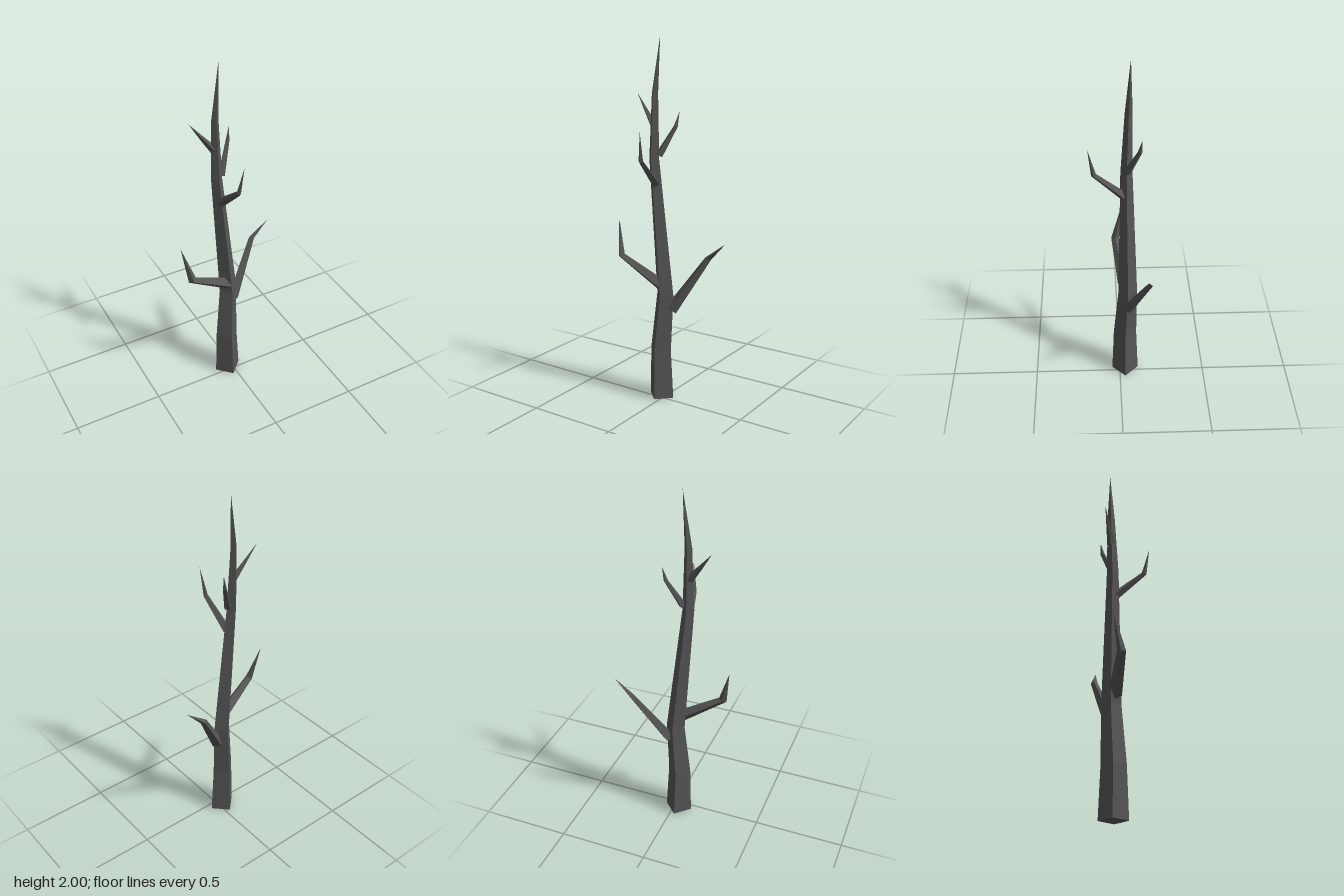
import * as THREE from 'three';

const bark = new THREE.MeshStandardMaterial({ color: 0x555555, flatShading: true });
const X = new THREE.Vector3(1, 0, 0), Y = new THREE.Vector3(0, 1, 0), Z = new THREE.Vector3(0, 0, 1);

// Four-sided tapering limb. Each point is [x, y, z, radius, ring normal (optional)];
// the last point is the sharp tip. One corner of every ring points along "ref".
function limb(name, points, ref) {
  const SIDES = 4;
  const centres = points.map(p => new THREE.Vector3(p[0], p[1], p[2]));
  const step = i => centres[i + 1].clone().sub(centres[i]).normalize();
  const rings = points.slice(0, -1).map((p, i) => {
    const n = (p[4] ? p[4].clone() : i ? step(i - 1).add(step(i)) : step(0)).normalize();
    const u = ref.clone().addScaledVector(n, -ref.dot(n)).normalize();
    const v = new THREE.Vector3().crossVectors(n, u);
    return Array.from({ length: SIDES }, (_, k) => {
      const a = k * Math.PI * 2 / SIDES;
      return centres[i].clone()
        .addScaledVector(u, p[3] * Math.cos(a))
        .addScaledVector(v, p[3] * Math.sin(a));
    });
  });

  const tip = centres[centres.length - 1], verts = [];
  const tri = (...corners) => corners.forEach(c => verts.push(c.x, c.y, c.z));
  for (let k = 0; k < SIDES; k++) {
    const m = (k + 1) % SIDES;
    for (let i = 0; i < rings.length - 1; i++) {
      const a = rings[i], b = rings[i + 1];
      tri(a[k], a[m], b[m]);
      tri(a[k], b[m], b[k]);
    }
    const last = rings[rings.length - 1];
    tri(last[k], last[m], tip);
    tri(centres[0], rings[0][m], rings[0][k]); // end cap
  }
  const geometry = new THREE.BufferGeometry();
  geometry.setAttribute('position', new THREE.Float32BufferAttribute(verts, 3));
  geometry.computeVertexNormals();
  const mesh = new THREE.Mesh(geometry, bark);
  mesh.name = name;
  return mesh;
}

export function createModel() {
  const tree = new THREE.Group();
  tree.name = 'bareTree';

  // Trunk: level diamond rings, leaning gently to and fro
  tree.add(limb('trunk', [
    [-0.026, 0, -0.032, 0.077, Y],
    [-0.031, 0.28, -0.031, 0.066, Y],
    [-0.012, 0.6, -0.045, 0.053, Y],
    [-0.079, 1.35, -0.037, 0.032, Y],
    [-0.08, 1.7, -0.047, 0.02, Y],
    [-0.052, 2, -0.055, 0],
  ], Z));

  // Two large lower branches
  tree.add(limb('lowerRightBranch', [
    [-0.025, 0.655, -0.025, 0.036],
    [-0.263, 0.8, 0.018, 0.023, new THREE.Vector3(-0.4, 0.92, 0)],
    [-0.307, 1, -0.022, 0],
  ], Z));
  tree.add(limb('lowerLeftBranch', [
    [0.025, 0.515, -0.05, 0.035],
    [0.198, 0.81, -0.151, 0.019, new THREE.Vector3(0.2, 1, -0.1)],
    [0.303, 0.905, -0.151, 0],
  ], Z));

  // Small upper twigs
  tree.add(limb('frontTwig', [
    [-0.062, 1.215, -0.025, 0.025],
    [-0.045, 1.36, 0.135, 0.014],
    [-0.03, 1.52, 0.165, 0],
  ], X));
  tree.add(limb('upperLeftTwig', [
    [-0.05, 1.37, -0.04, 0.022],
    [0.018, 1.525, -0.1, 0.012],
    [0.034, 1.605, -0.112, 0],
  ], Z));
  tree.add(limb('upperRightTwig', [
    [-0.085, 1.525, -0.046, 0.022],
    [-0.15, 1.61, -0.059, 0.011],
    [-0.212, 1.695, -0.072, 0],
  ], Z));

  return tree;
}
